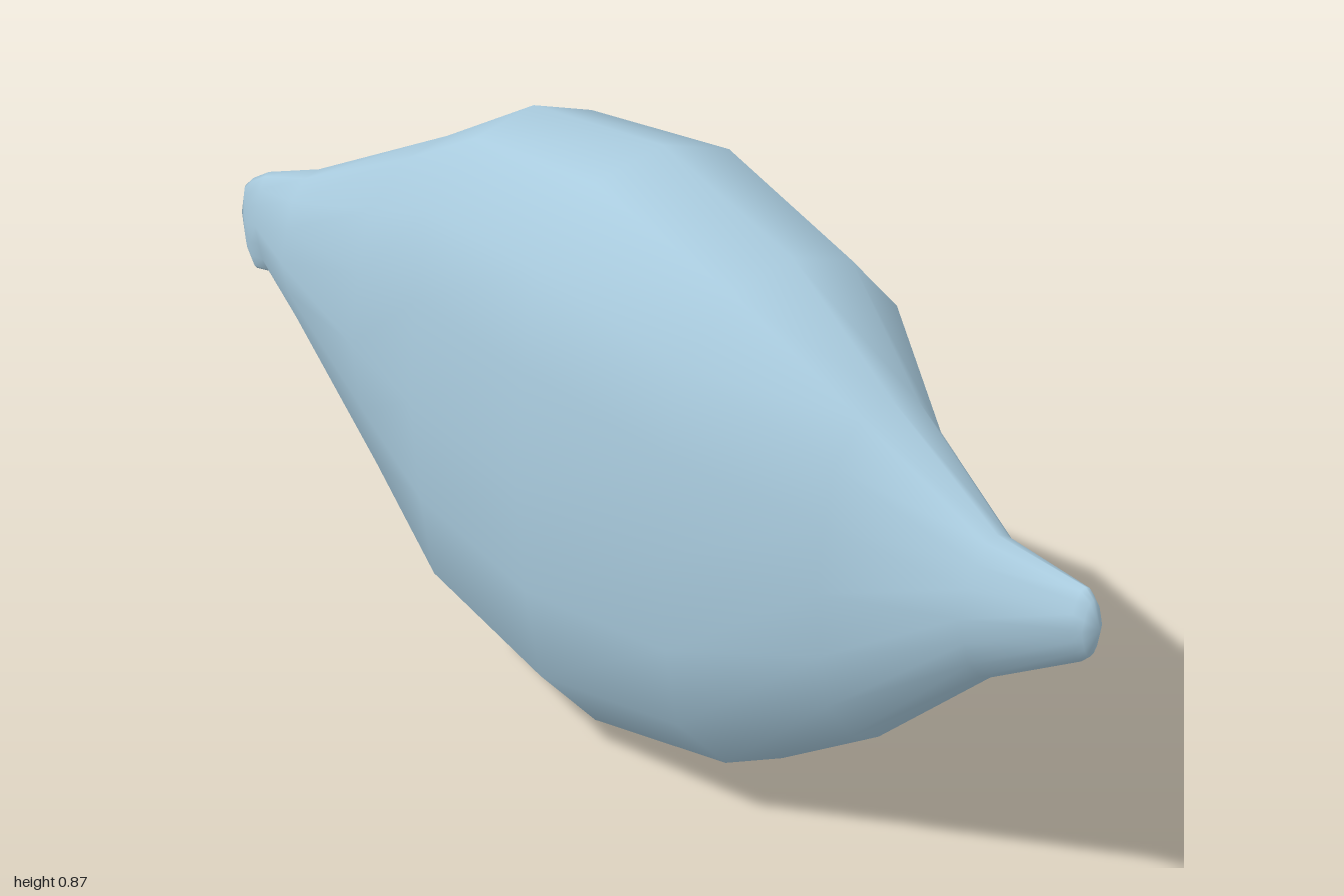
import * as THREE from 'three';
import { mergeVertices } from 'three/addons/utils/BufferGeometryUtils.js';

// Cross-section stations: x, bottom, top, half width, roundness
const STATIONS = [
  [-1.0, 0.44, 0.44, 0, 0.6],
  [-0.985, 0.38, 0.49, 0.006, 0.6],
  [-0.96, 0.355, 0.51, 0.014, 0.6],
  [-0.91, 0.364, 0.535, 0.03, 0.6],
  [-0.76, 0.305, 0.583, 0.075, 0.7],
  [-0.4, 0.165, 0.74, 0.178, 0.9],
  [-0.18, 0.045, 0.848, 0.221, 1],
  [0.12, 0, 0.874, 0.25, 1],
  [0.4, 0.055, 0.798, 0.218, 1],
  [0.6, 0.177, 0.67, 0.115, 0.9],
  [0.81, 0.355, 0.556, 0.06, 0.6],
  [0.97, 0.445, 0.547, 0.024, 0.6],
  [0.985, 0.458, 0.535, 0.017, 0.6],
  [1.0, 0.5, 0.5, 0, 0.6],
];

// Half of the section from top to bottom: [width fraction, height fraction]
const HALF = [
  [0, 1], [0.46, 0.93], [0.84, 0.7], [0.94, 0.38], [1, 0],
  [0.94, -0.38], [0.84, -0.7], [0.46, -0.93], [0, -1],
];
const SECTION = [...HALF, ...HALF.slice(1, -1).reverse().map(([w, h]) => [-w, h])];

// Skin the stations into one closed, smooth hull
function loft() {
  const positions = [];
  const index = [];
  const n = SECTION.length;
  for (const [x, bottom, top, width, round] of STATIONS) {
    for (const [w, h] of SECTION) {
      // Toward the thin ends the section narrows to a sharper ridge
      const pointed = Math.sign(w) * (1 - Math.abs(h));
      const z = THREE.MathUtils.lerp(pointed, w, round) * width;
      positions.push(x, (top + bottom) / 2 + h * (top - bottom) / 2, z);
    }
  }
  const last = STATIONS.length - 2;
  for (let i = 0; i <= last; i++) {
    for (let j = 0; j < n; j++) {
      const k = (j + 1) % n;
      const a = i * n + j, b = i * n + k, c = a + n, d = b + n;
      if (i > 0) index.push(a, b, c);
      if (i < last) index.push(b, d, c);
    }
  }
  // The first band only needs its fan triangles, the last its tip triangles
  const geometry = new THREE.BufferGeometry();
  geometry.setAttribute('position', new THREE.Float32BufferAttribute(positions, 3));
  geometry.setIndex(index);
  const welded = mergeVertices(geometry, 1e-5);
  welded.computeVertexNormals();
  return welded;
}

export function createModel() {
  const group = new THREE.Group();
  group.name = 'spindleBody';
  const paleBlue = new THREE.MeshStandardMaterial({ color: 0xa9cbde });
  paleBlue.name = 'paleBlue';
  const body = new THREE.Mesh(loft(), paleBlue);
  body.name = 'body';
  group.add(body);
  return group;
}
